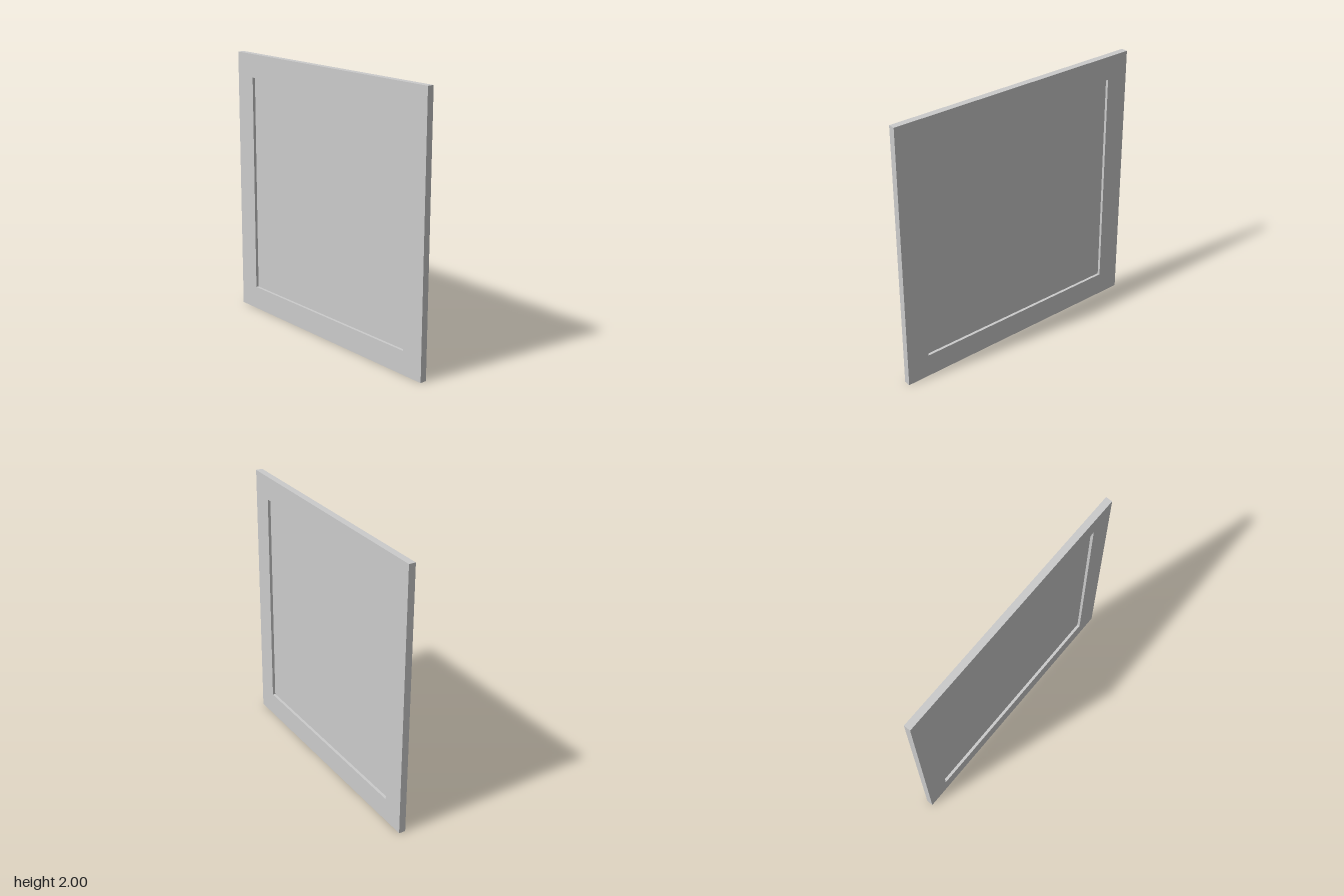
import * as THREE from 'three';

const SIZE = 2, OPENING = 1.65, DEPTH = 0.05, PANEL_DEPTH = 0.008;

// Square outline centred on the origin
function square(Type, size) {
  const h = size / 2;
  return new Type([[-h, -h], [h, -h], [h, h], [-h, h]].map(([x, y]) => new THREE.Vector2(x, y)));
}

export function createModel() {
  const group = new THREE.Group();
  group.name = 'framedPanel';
  const material = new THREE.MeshStandardMaterial({ color: 0xcccccc });

  // Flat square border with a square opening
  const outline = square(THREE.Shape, SIZE);
  outline.holes.push(square(THREE.Path, OPENING));
  const frameGeometry = new THREE.ExtrudeGeometry(outline, { depth: DEPTH, bevelEnabled: false });
  frameGeometry.translate(0, 0, -DEPTH / 2);
  const frame = new THREE.Mesh(frameGeometry, material);
  frame.name = 'frame';

  // Thin sheet set midway in the opening, recessed on both sides
  const panel = new THREE.Mesh(new THREE.BoxGeometry(OPENING, OPENING, PANEL_DEPTH), material);
  panel.name = 'panel';

  for (const part of [frame, panel]) {
    part.position.y = SIZE / 2;
    group.add(part);
  }
  return group;
}
